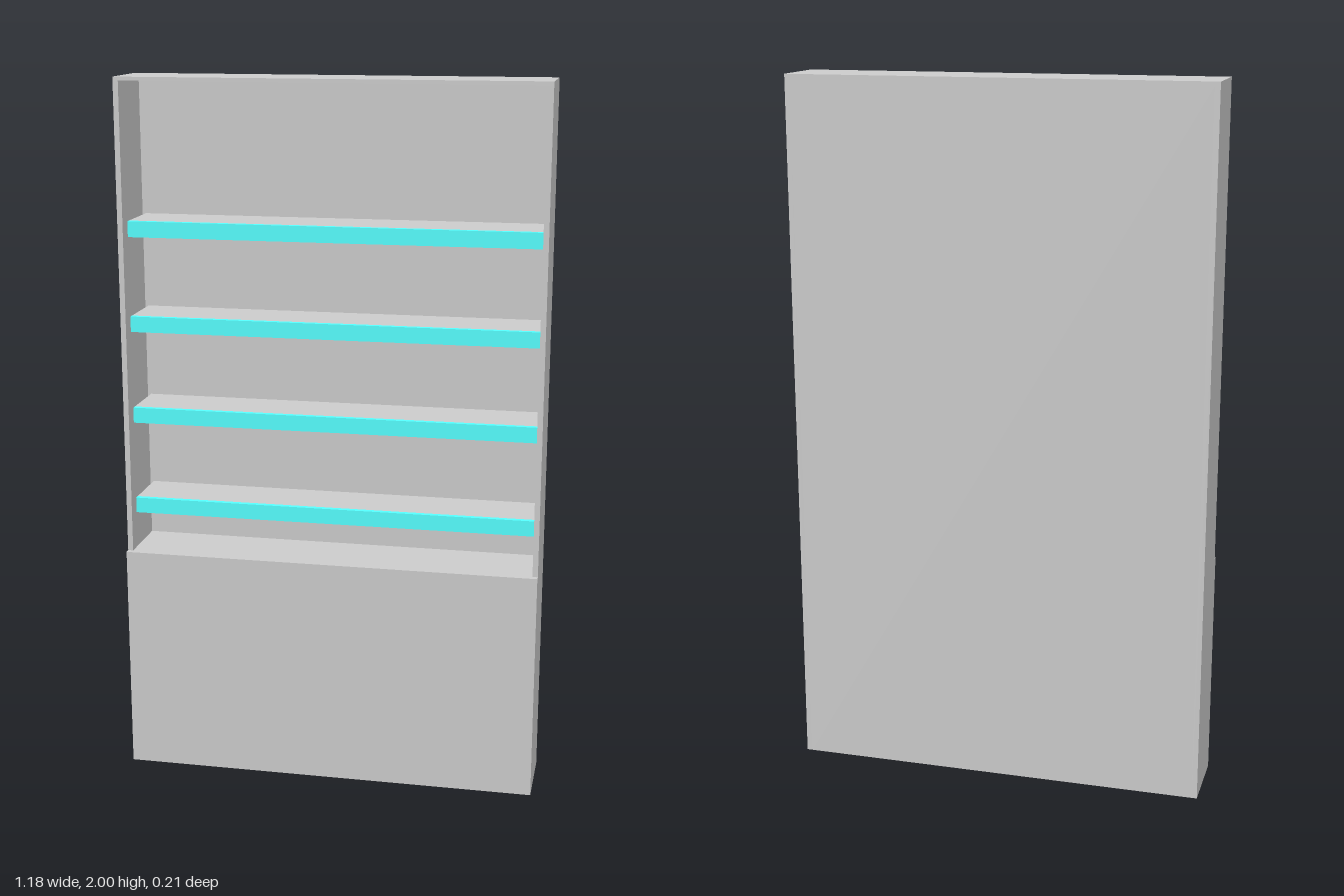
import * as THREE from 'three';

export function createModel() {
  const model = new THREE.Group();
  const grey = new THREE.MeshStandardMaterial({ color: 0xcccccc });
  const cyan = new THREE.MeshStandardMaterial({ color: 0x55ffff });

  // Box given by its min and max extents on each axis
  const box = (name, [x0, x1], [y0, y1], [z0, z1], material = grey, parent = model) => {
    const mesh = new THREE.Mesh(new THREE.BoxGeometry(x1 - x0, y1 - y0, z1 - z0), material);
    mesh.position.set((x0 + x1) / 2, (y0 + y1) / 2, (z0 + z1) / 2);
    mesh.name = name;
    parent.add(mesh);
  };

  const W = 0.592, IN = 0.577;              // outer and inner half widths
  const BACK = -0.106, FRONT = 0.09, BASE_FRONT = 0.106;
  const BACK_IN = BACK + 0.012;
  const BASE_H = 0.655, TOP = 1.99;

  // Cabinet shell, open underneath
  box('backPanel', [-IN, IN], [0, TOP], [BACK, BACK_IN]);
  box('leftSide', [IN, W], [0, TOP], [BACK, FRONT]);
  box('rightSide', [-W, -IN], [0, TOP], [BACK, FRONT]);
  box('topPanel', [-W, W], [TOP, 2], [BACK, FRONT]);

  // Closed lower front and the ledge above it
  box('lowerFrontPanel', [-W, W], [0, BASE_H], [FRONT, BASE_FRONT]);
  box('baseLedge', [-IN, IN], [BASE_H - 0.015, BASE_H], [BACK_IN, FRONT]);

  // Shelves with coloured front strips
  for (const y of [0.768, 1.035, 1.298, 1.565]) {
    const shelf = new THREE.Group();
    shelf.name = 'shelf';
    box('shelfBoard', [-0.567, IN], [y, y + 0.044], [BACK_IN, 0.062], grey, shelf);
    box('shelfStrip', [-0.567, IN], [y, y + 0.044], [0.062, 0.077], cyan, shelf);
    model.add(shelf);
  }
  return model;
}
